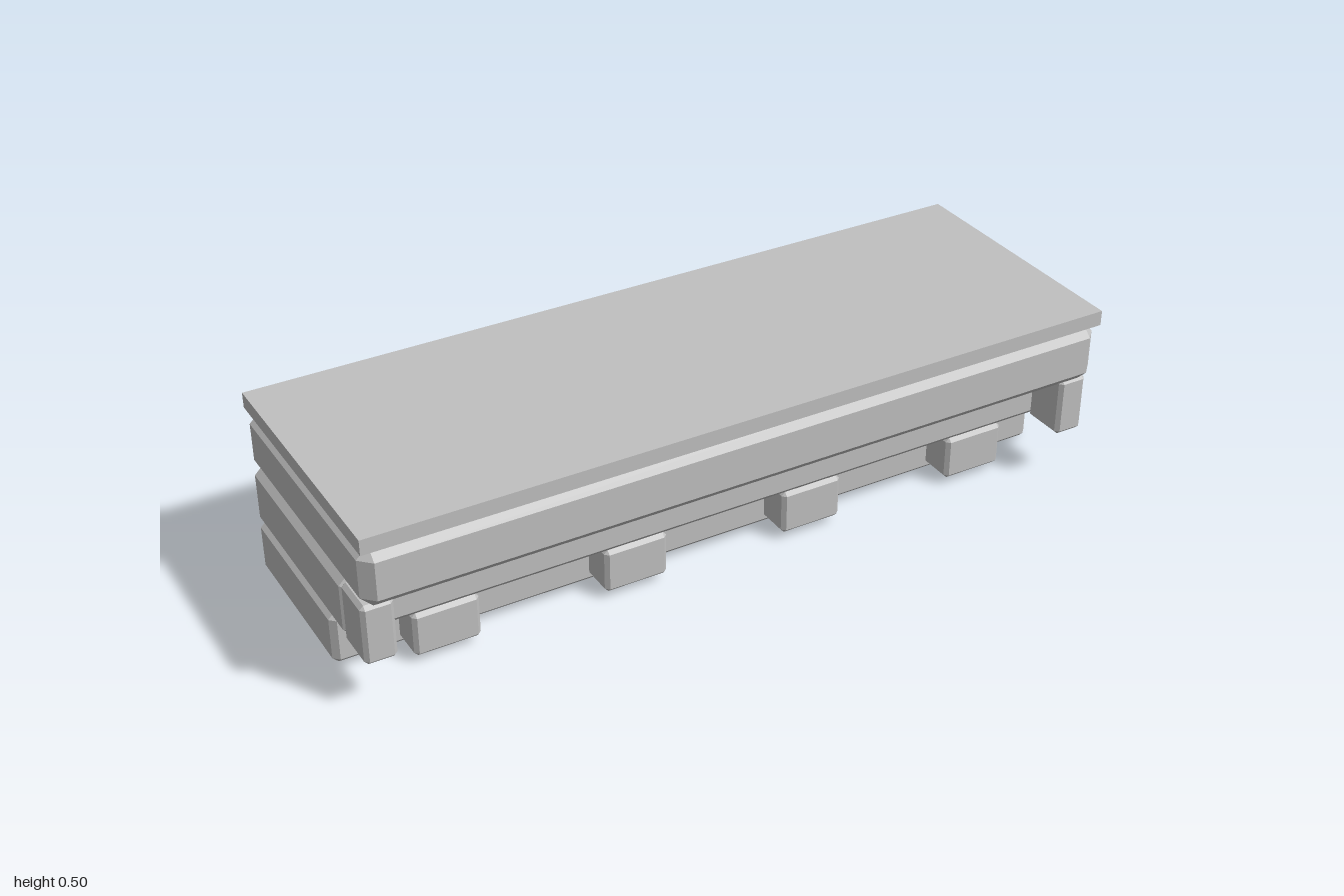
import * as THREE from 'three';
import { ConvexGeometry } from 'three/addons/geometries/ConvexGeometry.js';

const stone = new THREE.MeshStandardMaterial({ color: 0xc0c0c0 });
stone.name = 'stoneGrey';

// Box between two corners with every edge cut at 45 degrees
function chamferedBox(name, min, max, cut) {
  const centre = min.map((v, i) => (v + max[i]) / 2);
  const half = min.map((v, i) => (max[i] - v) / 2);
  const points = [];
  for (const sx of [-1, 1]) for (const sy of [-1, 1]) for (const sz of [-1, 1]) {
    const sign = [sx, sy, sz];
    for (let axis = 0; axis < 3; axis++) {
      const p = sign.map((s, i) => s * (i === axis ? half[i] : half[i] - cut));
      points.push(new THREE.Vector3(...p));
    }
  }
  const mesh = new THREE.Mesh(new ConvexGeometry(points), stone);
  mesh.name = name;
  mesh.position.set(...centre);
  return mesh;
}

export function createModel() {
  const model = new THREE.Group();
  model.name = 'steppedLedge';

  // Flat top slab
  const slab = new THREE.Mesh(new THREE.BoxGeometry(2, 0.04, 0.7), stone);
  slab.name = 'topSlab';
  slab.position.y = 0.48;
  model.add(slab);

  // Three stacked courses, stepping back towards the ground
  model.add(chamferedBox('upperCourse', [-1, 0.3, -0.35], [1, 0.46, 0.35], 0.03));
  model.add(chamferedBox('middleCourse', [-1, 0.14, -0.35], [1, 0.3, 0.21], 0.02));
  model.add(chamferedBox('lowerCourse', [-1, 0, -0.35], [1, 0.14, 0.11], 0.015));

  // End brackets under the upper course
  for (const [name, x] of [['rightBracket', -0.96], ['leftBracket', 0.96]]) {
    model.add(chamferedBox(name, [x - 0.04, 0.14, 0.2], [x + 0.04, 0.3, 0.32], 0.01));
  }

  // Row of small blocks on the lower course
  for (let i = 0; i < 4; i++) {
    const x = -0.75 + i * 0.5;
    model.add(chamferedBox('supportBlock' + (i + 1), [x - 0.085, 0.02, 0.1], [x + 0.085, 0.14, 0.2], 0.01));
  }
  return model;
}
